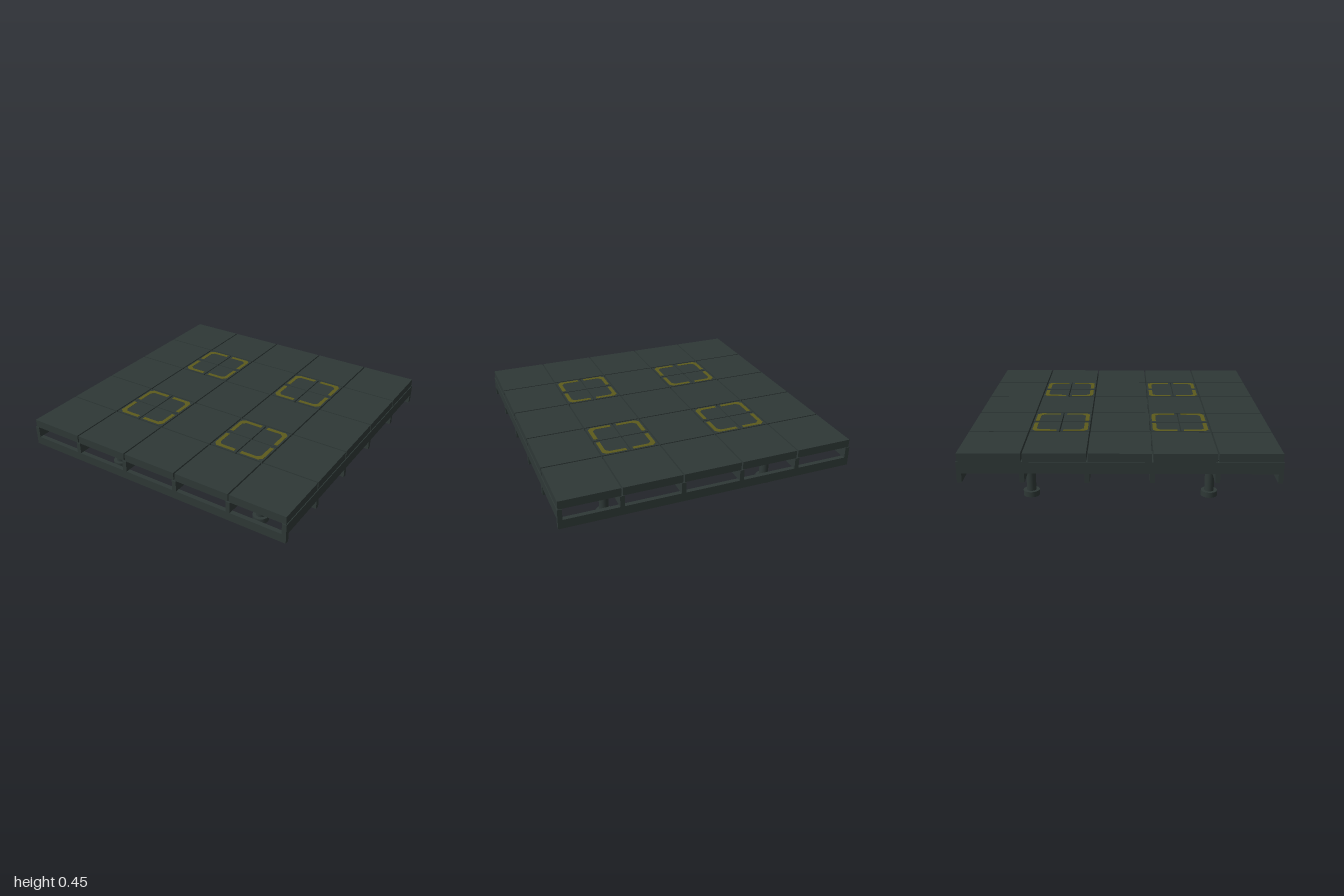
import * as THREE from 'three';

export function createModel() {
  const model = new THREE.Group();
  model.name = 'raisedPlatform';
  const steel = new THREE.MeshStandardMaterial({ name: 'dark steel', color: 0x2e3836 });
  const yellow = new THREE.MeshStandardMaterial({ name: 'faded yellow paint', color: 0x5c5a1c });

  function add(parent, name, geometry, material, x, y, z) {
    const mesh = new THREE.Mesh(geometry, material);
    mesh.name = name;
    mesh.position.set(x, y, z);
    parent.add(mesh);
    return mesh;
  }
  function group(name) {
    const g = new THREE.Group();
    g.name = name;
    model.add(g);
    return g;
  }

  // Two crossed layers of beams
  const frame = group('frame');
  const upperBeam = new THREE.BoxGeometry(0.03, 0.075, 2);
  const lowerBeam = new THREE.BoxGeometry(2, 0.06, 0.03);
  for (const p of [-0.985, -0.6, -0.2, 0.2, 0.6, 0.985]) {
    add(frame, 'upperBeam', upperBeam, steel, p, 0.3575, 0);
    add(frame, 'lowerBeam', lowerBeam, steel, 0, 0.29, p);
  }

  // L-shaped corner mark with chamfered bend, in the +x +y quadrant
  const mark = new THREE.Shape([
    [0.022, 0.157], [0.135, 0.157], [0.157, 0.135], [0.157, 0.022],
    [0.184, 0.022], [0.184, 0.16], [0.16, 0.184], [0.022, 0.184],
  ].map(([x, y]) => new THREE.Vector2(x, y)));
  const markGeometry = new THREE.ExtrudeGeometry(mark, { depth: 0.002, bevelEnabled: false });
  markGeometry.rotateX(-Math.PI / 2);

  // Deck of 5 x 5 plates; four of them are hatches split into quarters
  const deck = group('deck');
  const plate = new THREE.BoxGeometry(0.39, 0.055, 0.39);
  const leaf = new THREE.BoxGeometry(0.191, 0.055, 0.191);
  for (let i = -2; i <= 2; i++) {
    for (let j = -2; j <= 2; j++) {
      const x = i * 0.4, z = j * 0.4;
      if (Math.abs(i) !== 1 || Math.abs(j) !== 1) {
        add(deck, 'deckPlate', plate, steel, x, 0.4225, z);
        continue;
      }
      for (let k = 0; k < 4; k++) {
        const sx = k % 2 ? 1 : -1, sz = k < 2 ? 1 : -1;
        add(deck, 'hatchLeaf', leaf, steel, x + sx * 0.0995, 0.4225, z + sz * 0.0995);
        add(deck, 'hatchMark', markGeometry, yellow, x, 0.4495, z).rotation.y = k * Math.PI / 2;
      }
    }
  }

  // Four legs with foot, column and cap
  const foot = new THREE.CylinderGeometry(0.055, 0.055, 0.037, 24);
  const column = new THREE.CylinderGeometry(0.032, 0.032, 0.2, 24);
  const cap = new THREE.CylinderGeometry(0.07, 0.07, 0.056, 24);
  for (const x of [-0.6, 0.6]) {
    for (const z of [-0.6, 0.6]) {
      const leg = group('leg');
      add(leg, 'foot', foot, steel, x, 0.0185, z);
      add(leg, 'column', column, steel, x, 0.13, z);
      add(leg, 'cap', cap, steel, x, 0.246, z);
    }
  }
  return model;
}
